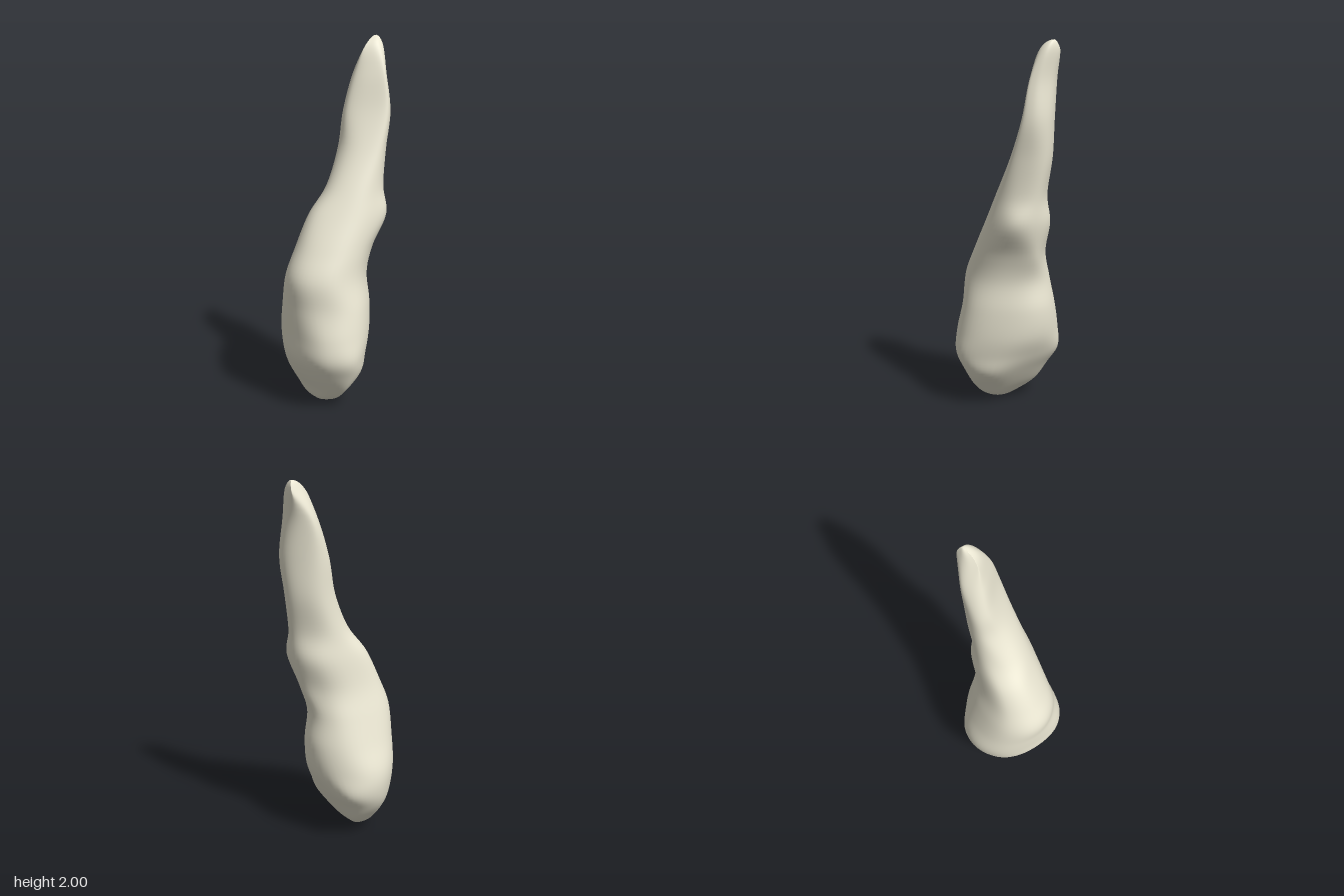
import * as THREE from 'three';
import { mergeVertices } from 'three/addons/utils/BufferGeometryUtils.js';

// Each row: height, then the reach of the cross-section in eight directions,
// turning in 45 degree steps from +x through +z, -x and -z.
const SECTIONS = [
  [0.00, -.08, -.0283, .04, .0849, .08, .0283, -.04, -.0849],
  [0.03, .02, .09, .12, .125, .15, .10, .03, -.03],
  [0.10, .09, .18, .185, .165, .205, .18, .13, .035],
  [0.20, .165, .24, .25, .225, .26, .26, .20, .105],
  [0.30, .185, .275, .295, .265, .285, .30, .26, .165],
  [0.42, .20, .265, .29, .27, .295, .30, .26, .215],
  [0.57, .197, .24, .26, .275, .28, .255, .248, .23],
  [0.73, .18, .207, .248, .277, .256, .21, .22, .213],
  [0.88, .21, .195, .19, .215, .205, .17, .205, .25],
  [1.05, .28, .185, .115, .13, .14, .15, .235, .29],
  [1.20, .26, .16, .05, .02, .05, .13, .22, .298],
  [1.40, .27, .137, -.035, -.08, -.005, .122, .25, .327],
  [1.60, .29, .117, -.10, -.124, -.03, .122, .26, .345],
  [1.80, .265, .08, -.14, -.18, -.08, .115, .27, .333],
  [1.95, .24, .02, -.185, -.235, -.15, .07, .29, .342],
  [2.00, .20, -.0424, -.26, -.3253, -.20, .0424, .26, .3253],
];
const STEPS = 6; // rings per section
const ARC = 6; // points per eighth of a ring

// Row beyond an end: height mirrored, reach continued, so the ends close round
const beyond = (end, inner) => end.map((v, k) => (k === 0 ? inner[0] : 2 * v - inner[k]));

function catmullRom(a, b, c, d, t) {
  return 0.5 * (2 * b + (c - a) * t + (2 * a - 5 * b + 4 * c - d) * t * t
    + (3 * b - a - 3 * c + d) * t * t * t);
}

// Smooth closed outline that touches the eight reach lines
function outline(reach) {
  const h = reach.map((v, i) =>
    Math.min(v, (reach[(i + 7) % 8] + reach[(i + 1) % 8]) * Math.SQRT1_2));
  const corners = h.map((v, i) => {
    const a = (i * Math.PI) / 4;
    const s = h[(i + 1) % 8] * Math.SQRT2 - v;
    return new THREE.Vector2(v * Math.cos(a) - s * Math.sin(a), v * Math.sin(a) + s * Math.cos(a));
  });
  const points = [];
  corners.forEach((corner, i) => {
    const from = corners[(i + 7) % 8].clone().lerp(corner, 0.5);
    const to = corner.clone().lerp(corners[(i + 1) % 8], 0.5);
    const curve = new THREE.QuadraticBezierCurve(from, corner, to);
    for (let k = 0; k < ARC; k++) points.push(curve.getPoint(k / ARC));
  });
  return points;
}

function toothGeometry() {
  const n = SECTIONS.length;
  const rows = [beyond(SECTIONS[0], SECTIONS[1]), ...SECTIONS,
    beyond(SECTIONS[n - 1], SECTIONS[n - 2])];
  const positions = [];
  const indices = [];
  const ring = 8 * ARC;
  const last = (n - 1) * STEPS;
  for (let j = 0; j <= last; j++) {
    const i = Math.min(Math.floor(j / STEPS), n - 2);
    const t = j / STEPS - i;
    const [y, ...reach] = rows[i].map((v, k) =>
      catmullRom(v, rows[i + 1][k], rows[i + 2][k], rows[i + 3][k], t));
    outline(reach).forEach((p) => positions.push(p.x, y, p.y));
    if (j === last) break;
    for (let k = 0; k < ring; k++) {
      const a = j * ring + k;
      const b = j * ring + ((k + 1) % ring);
      indices.push(a, a + ring, b, b, a + ring, b + ring);
    }
  }
  const geometry = new THREE.BufferGeometry();
  geometry.setAttribute('position', new THREE.Float32BufferAttribute(positions, 3));
  geometry.setIndex(indices);
  // Join the points at both tips so shading stays smooth there
  const merged = mergeVertices(geometry, 2e-4);
  merged.computeVertexNormals();
  return merged;
}

export function createModel() {
  const group = new THREE.Group();
  group.name = 'toothModel';
  const tooth = new THREE.Mesh(toothGeometry(), new THREE.MeshStandardMaterial({ color: 0xece8d4 }));
  tooth.name = 'tooth';
  group.add(tooth);
  return group;
}
